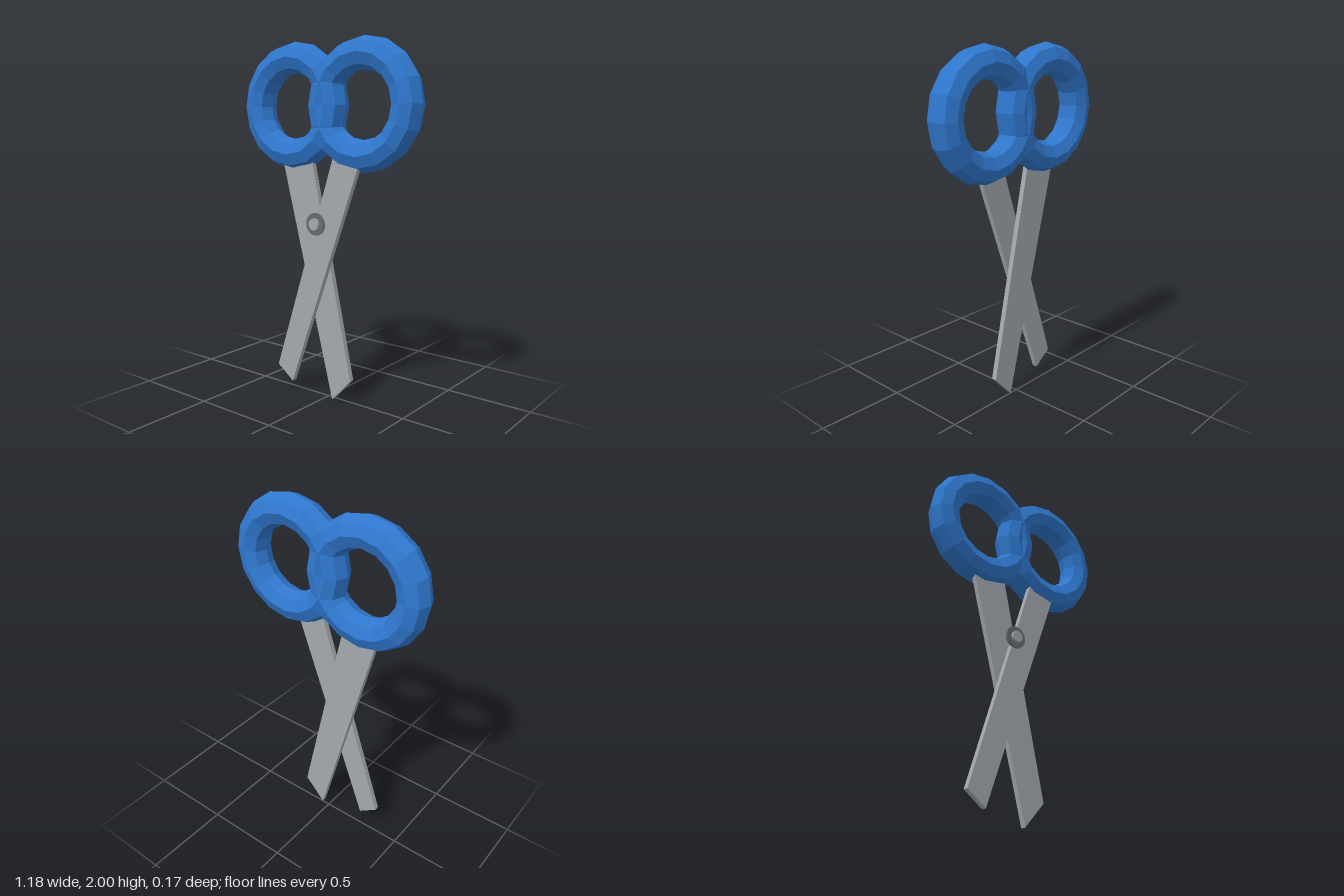
import * as THREE from 'three';

const steel = new THREE.MeshStandardMaterial({ color: 0xa3a8ae, flatShading: true });
const darkSteel = new THREE.MeshStandardMaterial({ color: 0x666a70, flatShading: true });
const blue = new THREE.MeshStandardMaterial({ color: 0x2f78cf, flatShading: true });

function addMesh(group, name, geometry, material, x = 0, y = 0, z = 0) {
  const mesh = new THREE.Mesh(geometry, material);
  mesh.name = name;
  mesh.position.set(x, y, z);
  group.add(mesh);
  return mesh;
}

// Flat blade cut from a four-cornered outline
function bladeGeometry(corners) {
  const shape = new THREE.Shape(corners.map(([x, y]) => new THREE.Vector2(x, y)));
  return new THREE.ExtrudeGeometry(shape, { depth: 0.03, bevelEnabled: false });
}

export function createModel() {
  const model = new THREE.Group();
  model.name = 'scissors';

  // Crossing blades, one behind the other; upper ends sit inside the grips
  addMesh(model, 'backBlade',
    bladeGeometry([[0.048, 0], [0.174, 0.135], [-0.107, 1.4], [-0.316, 1.375]]), steel, 0, 0, 0);
  addMesh(model, 'frontBlade',
    bladeGeometry([[-0.333, 0.135], [-0.222, 0.055], [0.265, 1.39], [0.088, 1.41]]), steel, 0, 0, 0.03);

  // Finger rings
  const ring = new THREE.TorusGeometry(0.268, 0.087, 8, 16);
  addMesh(model, 'leftGrip', ring, blue, 0.235, 1.644);
  addMesh(model, 'rightGrip', ring, blue, -0.237, 1.646);

  // Pivot screw: washer and raised head
  const pivot = new THREE.Group();
  pivot.name = 'pivot';
  pivot.position.set(-0.042, 1, 0);
  model.add(pivot);
  const disc = (r, depth) => new THREE.CylinderGeometry(r, r, depth, 20).rotateX(Math.PI / 2);
  addMesh(pivot, 'washer', disc(0.063, 0.013), darkSteel, 0, 0, 0.0635);
  addMesh(pivot, 'screwHead', disc(0.033, 0.025), steel, 0, 0, 0.0725);

  return model;
}
